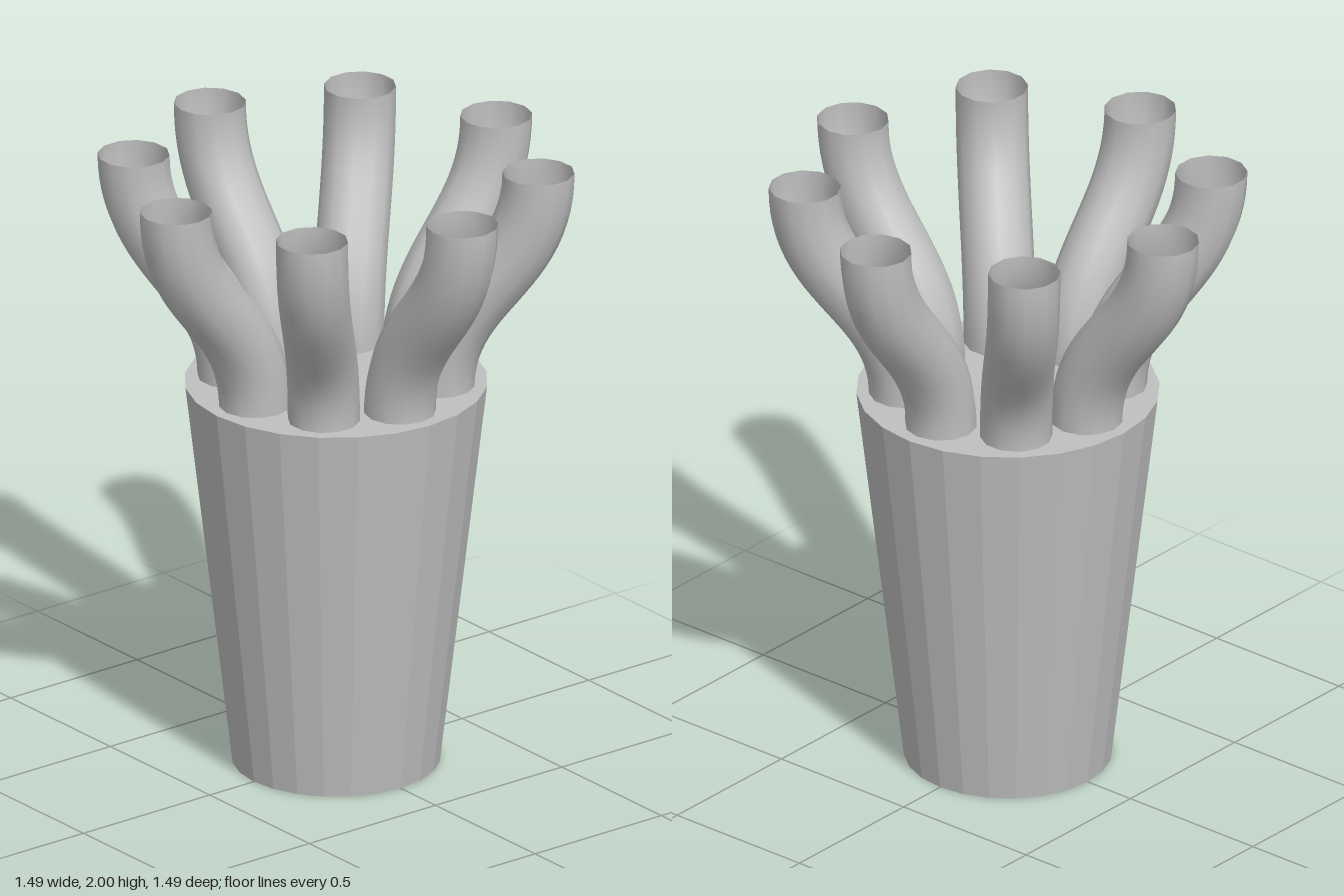
import * as THREE from 'three';

export function createModel() {
  const model = new THREE.Group();
  const grey = new THREE.MeshStandardMaterial({ color: 0xbfbfbf, side: THREE.DoubleSide });
  grey.name = 'plain grey';

  const topY = 1.27, topRadius = 0.473, bottomRadius = 0.325;
  const add = (name, geometry, y = 0) => {
    const mesh = new THREE.Mesh(geometry, grey);
    mesh.name = name;
    mesh.position.y = y;
    model.add(mesh);
    return mesh;
  };

  // Tapered faceted cup wall, open underneath
  const wall = new THREE.CylinderGeometry(topRadius, bottomRadius, topY, 24, 1, true).toNonIndexed();
  wall.computeVertexNormals();
  add('cupWall', wall, topY / 2);

  // Flat lid with a small round plate in its centre
  add('cupLid', new THREE.CircleGeometry(topRadius, 24).rotateX(-Math.PI / 2), topY);
  add('centrePlate', new THREE.CircleGeometry(0.18, 32).rotateX(-Math.PI / 2), topY + 0.003);

  // Ring of eight open tubes, each rising in an outward S-curve
  const path = new THREE.CubicBezierCurve3(
    new THREE.Vector3(0.321, topY - 0.005, 0),
    new THREE.Vector3(0.321, 1.6, 0),
    new THREE.Vector3(0.634, 1.65, 0),
    new THREE.Vector3(0.634, 2, 0)
  );
  const tube = new THREE.TubeGeometry(path, 24, 0.113, 12, false);
  for (let i = 0; i < 8; i++) {
    add('tube' + (i + 1), tube).rotation.y = (i * Math.PI) / 4;
  }
  return model;
}
